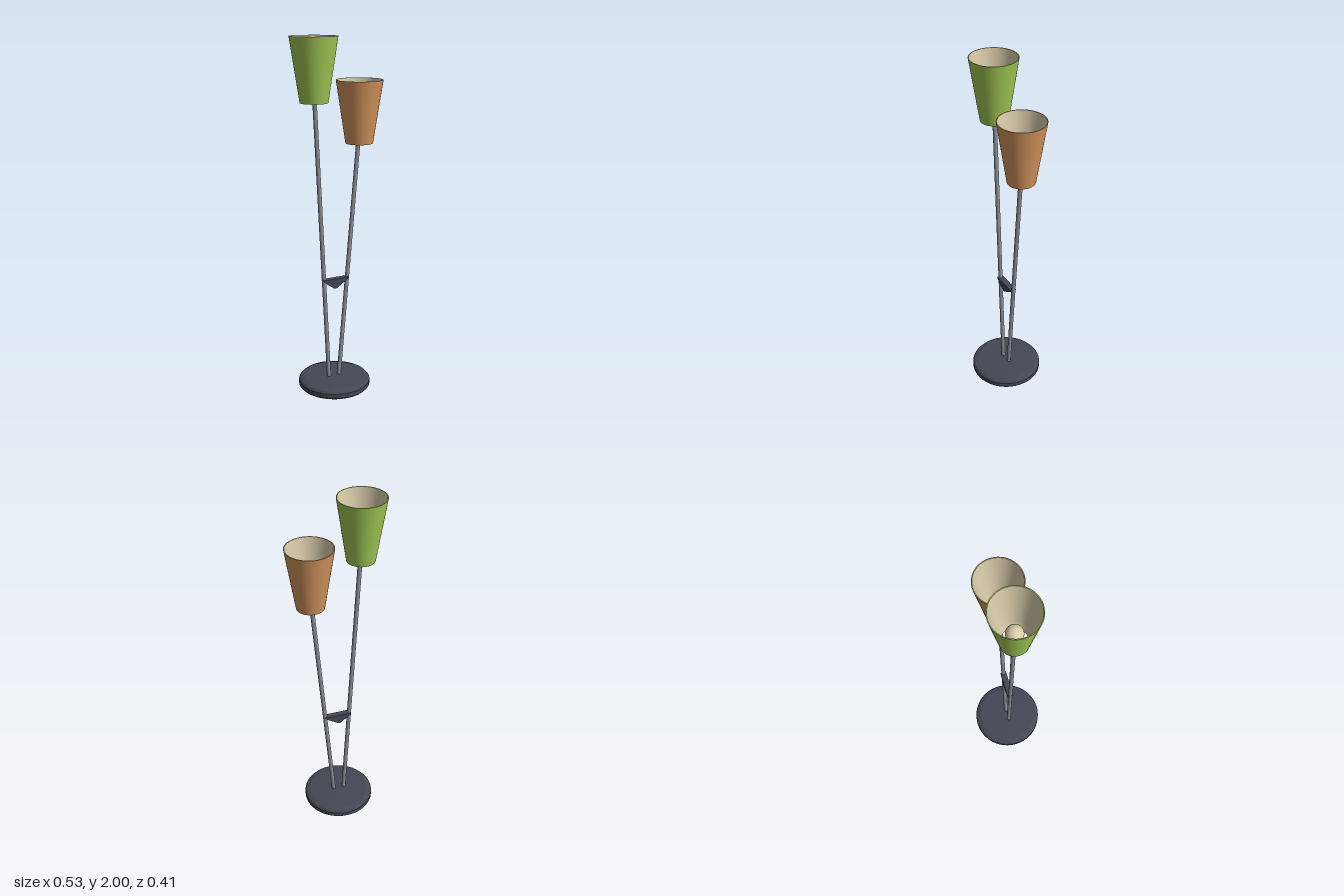
import * as THREE from 'three';

const mat = (name, color) => Object.assign(new THREE.MeshStandardMaterial({ color }), { name });

// Lathe with a hard edge at every profile point
function turned(points, segments) {
  const parts = new THREE.Group();
  for (let i = 0; i < points.length - 1; i++) {
    const pair = [points[i], points[i + 1]].map(([r, y]) => new THREE.Vector2(r, y));
    parts.add(new THREE.LatheGeometry(pair, segments));
  }
  return parts;
}

export function createModel() {
  const model = new THREE.Group();
  model.name = 'floorLamp';
  const dark = mat('charcoal', 0x434854);
  const steel = mat('steel', 0x8d939d);
  const cream = mat('cream', 0xd9ccaa);
  const green = mat('green', 0xa3cb55);
  const orange = mat('orange', 0xd6965e);

  const add = (name, geometry, material, parent = model) => {
    const mesh = new THREE.Mesh(geometry, material);
    mesh.name = name;
    parent.add(mesh);
    return mesh;
  };
  // Each straight run of a profile becomes its own band, so edges stay crisp
  const addTurned = (name, profile, material, parent) => {
    for (let i = 0; i < profile.length - 1; i++) {
      const pair = profile.slice(i, i + 2).map(([r, y]) => new THREE.Vector2(r, y));
      add(name, new THREE.LatheGeometry(pair, 48), material, parent);
    }
  };

  // Round foot with a bevelled rim
  const base = new THREE.Group();
  base.name = 'base';
  base.position.x = -0.02;
  model.add(base);
  addTurned('baseDisc', [[0, 0], [0.2, 0], [0.207, 0.008], [0.207, 0.034],
    [0.198, 0.045], [0.175, 0.053], [0, 0.055]], dark, base);

  // Two leaning stems, each with an open shade and a bulb
  const lamps = [
    { side: 'right', foot: -0.054, x: -0.138, y: 1.655, color: green },
    { side: 'left', foot: 0.009, x: 0.135, y: 1.42, color: orange },
  ];
  for (const { side, foot, x, y, color } of lamps) {
    const start = new THREE.Vector3(foot, 0.04, 0);
    const end = new THREE.Vector3(x, y + 0.07, 0);
    const dir = end.clone().sub(start);
    const stem = add(side + 'Stem', new THREE.CylinderGeometry(0.012, 0.012, dir.length(), 20), steel);
    stem.position.copy(start).lerp(end, 0.5);
    stem.quaternion.setFromUnitVectors(new THREE.Vector3(0, 1, 0), dir.normalize());

    const head = new THREE.Group();
    head.name = side + 'Head';
    head.position.set(x, y, 0);
    model.add(head);
    addTurned('shade', [[0.076, 0], [0.129, 0.345], [0.124, 0.345]], color, head);
    addTurned('shadeLining', [[0.124, 0.345], [0.08, 0.05], [0.068, 0], [0.076, 0]], cream, head);
    add('bulb', new THREE.SphereGeometry(0.045, 32, 20), cream, head).position.y = 0.1;
  }

  // Wedge-shaped brace between the stems
  const wedge = new THREE.Shape();
  wedge.moveTo(-0.093, 0.655);
  wedge.lineTo(-0.088, 0.643);
  wedge.lineTo(-0.026, 0.598);
  wedge.lineTo(-0.014, 0.598);
  wedge.lineTo(0.058, 0.643);
  wedge.lineTo(0.066, 0.655);
  const brace = new THREE.ExtrudeGeometry(wedge, { depth: 0.034, bevelEnabled: false });
  add('brace', brace.translate(0, 0, -0.017), dark);

  return model;
}
